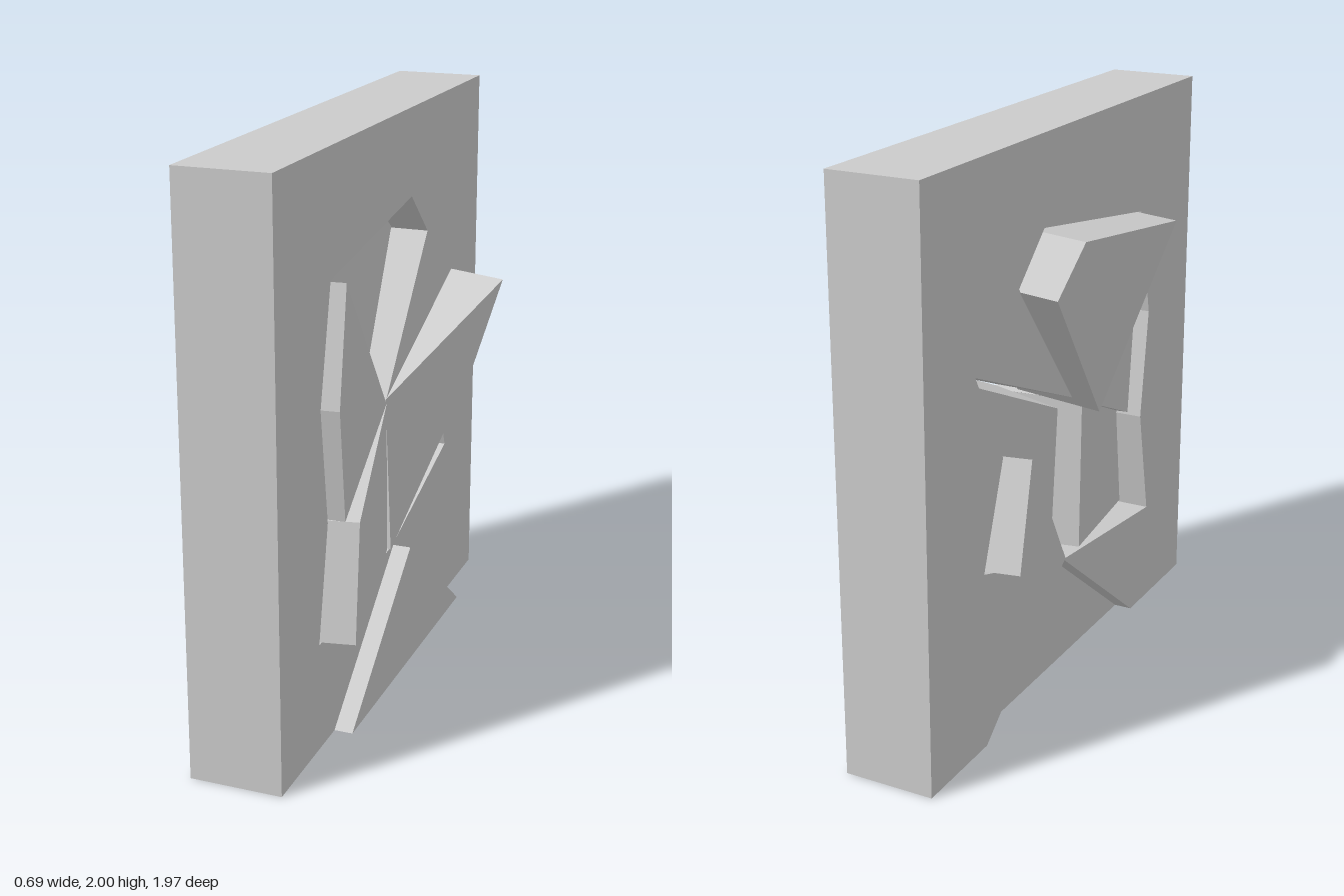
import * as THREE from 'three';

const DEPTH = 0.32, BACK = -0.2;
const material = new THREE.MeshStandardMaterial({ color: 0xcccccc, flatShading: true });

// Outlines are given as [z, y]; the extrusion runs along +x
const toPoints = (outline) => outline.map(([z, y]) => new THREE.Vector2(-z, y));

function extrudeAlongX(outline, hole) {
  const shape = new THREE.Shape(toPoints(outline));
  if (hole) shape.holes.push(new THREE.Path(toPoints(hole)));
  const geometry = new THREE.ExtrudeGeometry(shape, { depth: DEPTH, bevelEnabled: false });
  return geometry.rotateY(Math.PI / 2);
}

function addMesh(group, name, geometry) {
  const mesh = new THREE.Mesh(geometry, material);
  mesh.name = name;
  group.add(mesh);
}

// Prism whose +x face lies on the plane x = a + b*z + c*y, with sides square to that face
function tiltedPiece(outline, [a, b, c]) {
  const geometry = extrudeAlongX(outline);
  const normal = new THREE.Vector3(1, -c, -b).normalize();
  const pos = geometry.attributes.position;
  const v = new THREE.Vector3();
  for (let i = 0; i < pos.count; i++) {
    v.fromBufferAttribute(pos, i);
    const inward = v.x - DEPTH;
    v.x = a + b * v.z + c * v.y;
    v.addScaledVector(normal, inward);
    pos.setXYZ(i, v.x, v.y, v.z);
  }
  geometry.computeVertexNormals();
  return geometry;
}

export function createModel() {
  const group = new THREE.Group();
  group.name = 'brokenWall';

  // Wall slab with a notch at the foot and a jagged hole
  const wall = [
    [0.983, 0], [0.53, 0], [-0.05, 0.447], [-0.62, 0],
    [-0.983, 0], [-0.983, 2], [0.983, 2],
  ];
  const hole = [
    [0.545, 1.58], [-0.215, 1.69], [-0.39, 1.53], [0.03, 1.03],
    [-0.675, 1.32], [-0.5, 0.995], [-0.63, 0.635], [-0.05, 0.453],
    [0.66, 0.38], [0.58, 0.78], [0.635, 1.18],
  ];
  addMesh(group, 'wallSlab', extrudeAlongX(wall, hole).translate(BACK, 0, 0));

  // Loose pieces, each pushed and tilted out of the slab
  const pieces = [
    ['topPiece', [[0.54, 1.592], [-0.215, 1.69], [-0.385, 1.535], [0.03, 1.025]], [0.122, 0, -0.09]],
    ['frontPiece', [[0.538, 1.575], [0.62, 1.18], [0.56, 0.785], [0.03, 1.01]], [0.117, 0.1, 0]],
    ['lowerFrontPiece', [[0.55, 0.785], [0.625, 0.385], [0.01, 0.45], [0.03, 1.01]], [0.115, 0.19, 0]],
    ['rearPiece', [[0.03, 1.025], [-0.595, 1.32], [-0.42, 1], [0, 0.45]], [0.128, -0.365, 0]],
    ['lowerRearPiece', [[-0.52, 0.99], [-0.65, 0.637], [-0.11, 0.453]], [0.131, 0.195, 0]],
    ['footPiece', [[0.53, 0], [-0.05, 0.447], [-0.62, 0]], [0.185, 0, 0]],
  ];
  for (const [name, outline, plane] of pieces) {
    addMesh(group, name, tiltedPiece(outline, plane));
  }
  return group;
}
